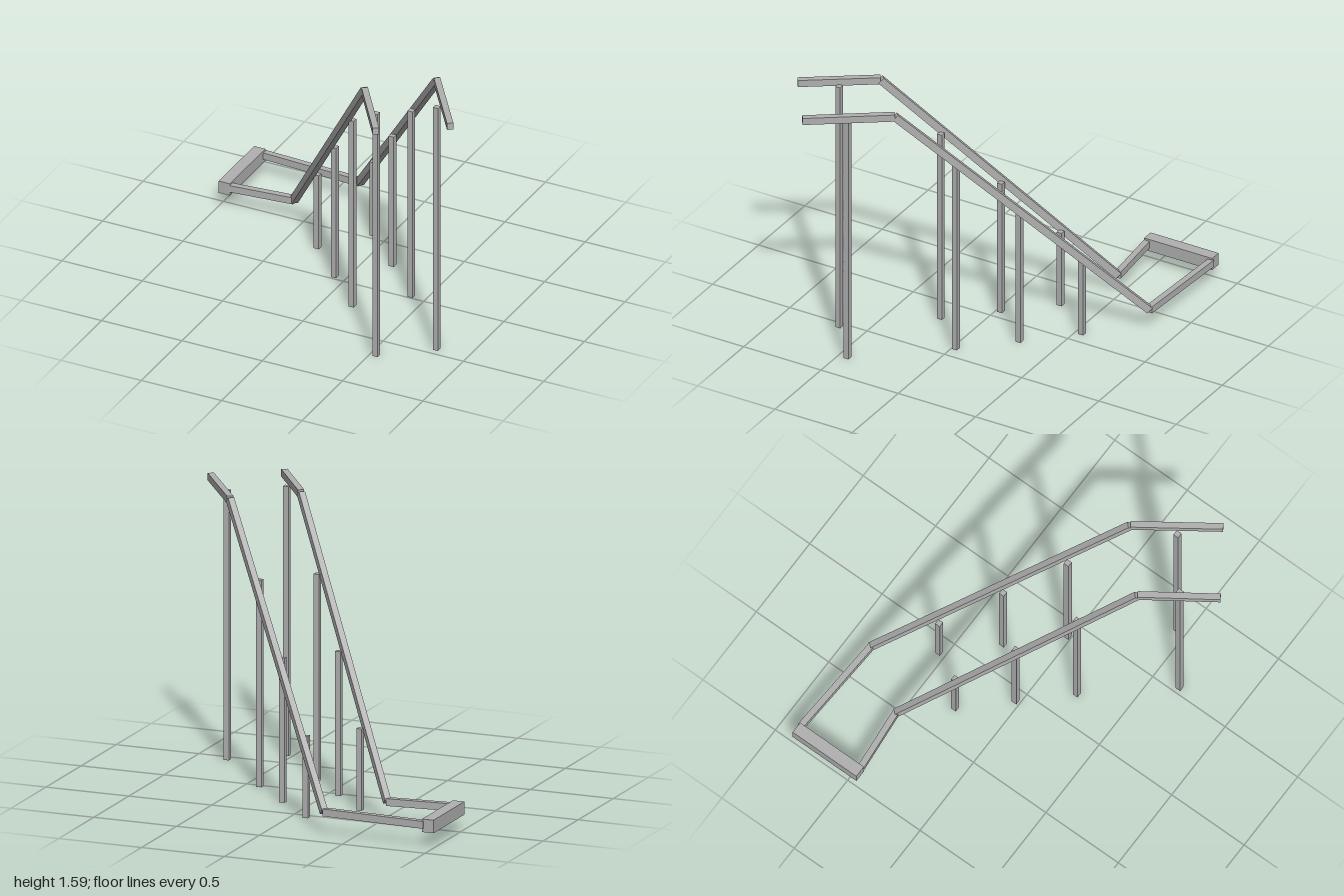
import * as THREE from 'three';

const LOW = 0.128, HIGH = 1.564; // rail centre heights
const RAIL_W = 0.036, RAIL_H = 0.042, POST = 0.032;

export function createModel() {
  const group = new THREE.Group();
  const metal = new THREE.MeshStandardMaterial({ color: 0xb0b0b0 });
  metal.name = 'greyMetal';

  const box = (name, parent, w, h, d, x, y, z) => {
    const mesh = new THREE.Mesh(new THREE.BoxGeometry(w, h, d), metal);
    mesh.name = name;
    mesh.position.set(x, y, z);
    parent.add(mesh);
    return mesh;
  };

  // Straight bar from a to b, its sides kept upright
  const bar = (name, parent, a, b) => {
    const mid = a.clone().add(b).multiplyScalar(0.5);
    const mesh = box(name, parent, RAIL_W, RAIL_H, a.distanceTo(b), mid.x, mid.y, mid.z);
    mesh.lookAt(b);
  };

  // Each handrail: plan points [x, z] and posts [x, z, top]
  const rails = [
    {
      name: 'leftHandrail',
      path: [[-0.94, -0.87], [-0.32, -0.837], [0.688, 0.208], [0.984, 0.63]],
      posts: [[-0.088, -0.541, 0.47], [0.162, -0.284, 0.83], [0.412, -0.022, 1.19], [0.806, 0.445, 1.55]],
    },
    {
      name: 'rightHandrail',
      path: [[-0.94, -0.456], [-0.556, -0.493], [0.378, 0.486], [0.64, 0.866]],
      posts: [[-0.3, -0.274, 0.47], [-0.067, -0.028, 0.83], [0.168, 0.221, 1.19], [0.537, 0.658, 1.55]],
    },
  ];
  const names = ['lowerRail', 'slopedRail', 'upperRail'];

  for (const { name, path, posts } of rails) {
    const side = new THREE.Group();
    side.name = name;
    const pts = path.map(([x, z], i) => new THREE.Vector3(x, i < 2 ? LOW : HIGH, z));
    names.forEach((n, i) => bar(n, side, pts[i], pts[i + 1]));
    posts.forEach(([x, z, top], i) => box('post' + (i + 1), side, POST, top, POST, x, top / 2, z));
    group.add(side);
  }

  // Block joining the two lower ends
  box('endBlock', group, 0.07, 0.075, 0.44, -0.965, 0.123, -0.66);
  return group;
}
